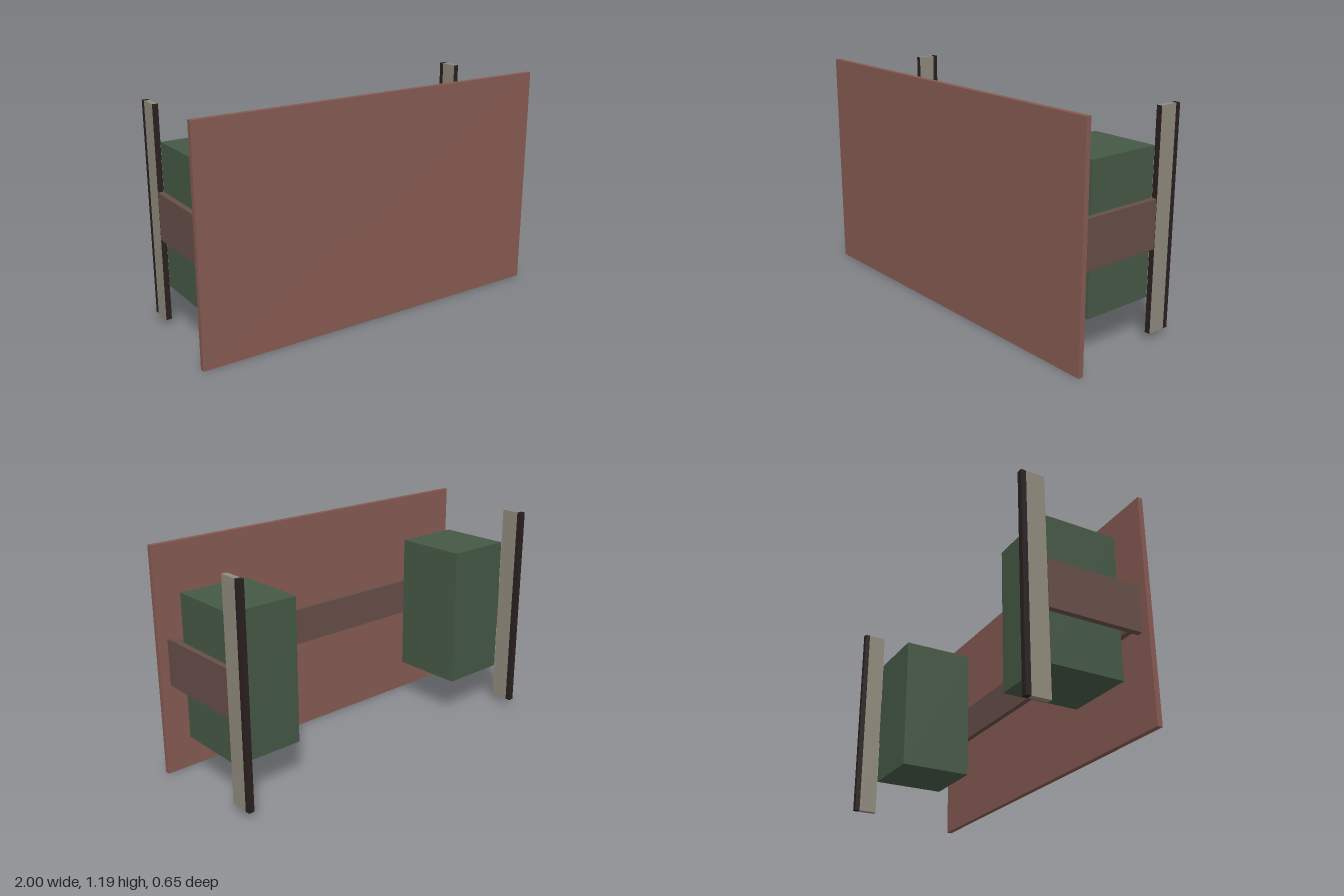
import * as THREE from 'three';

const material = (name, color) => {
  const m = new THREE.MeshStandardMaterial({ color });
  m.name = name;
  return m;
};

export function createModel() {
  const panelRed = material('panelRed', 0x865a52);
  const railBrown = material('railBrown', 0x664e48);
  const boxGreen = material('boxGreen', 0x455845);
  const postBeige = material('postBeige', 0x8f897b);
  const trimBlack = material('trimBlack', 0x2a2020);

  const model = new THREE.Group();
  model.name = 'panelFrame';

  // Box given by its extents on each axis
  const block = (name, [x0, x1], [y0, y1], [z0, z1], mat) => {
    const mesh = new THREE.Mesh(new THREE.BoxGeometry(x1 - x0, y1 - y0, z1 - z0), mat);
    mesh.position.set((x0 + x1) / 2, (y0 + y1) / 2, (z0 + z1) / 2);
    mesh.name = name;
    model.add(mesh);
  };

  // Large front board and the beam behind it
  block('frontPanel', [-1, 1], [0, 1.187], [0.3, 0.327], panelRed);
  block('crossBeam', [-0.92, 0.92], [0.5, 0.695], [0.27, 0.3], railBrown);

  // Post: beige core with a dark front face
  const postFaces = [postBeige, postBeige, postBeige, postBeige, trimBlack, postBeige];

  for (const side of [1, -1]) {
    const label = side > 0 ? 'left' : 'right';
    const span = (a, b) => (side > 0 ? [a, b] : [-b, -a]);
    block(label + 'SideRail', span(0.92, 0.95), [0.472, 0.718], [-0.2, 0.3], railBrown);
    block(label + 'Cabinet', span(0.55, 0.92), [0.22, 0.968], [-0.2, 0.2], boxGreen);
    block(label + 'Post', span(0.92, 0.95), [0.035, 1.155], [-0.3, -0.202], postFaces);
    block(label + 'PostTrim', span(0.92, 0.95), [0.035, 1.155], [-0.327, -0.3], trimBlack);
  }
  return model;
}
